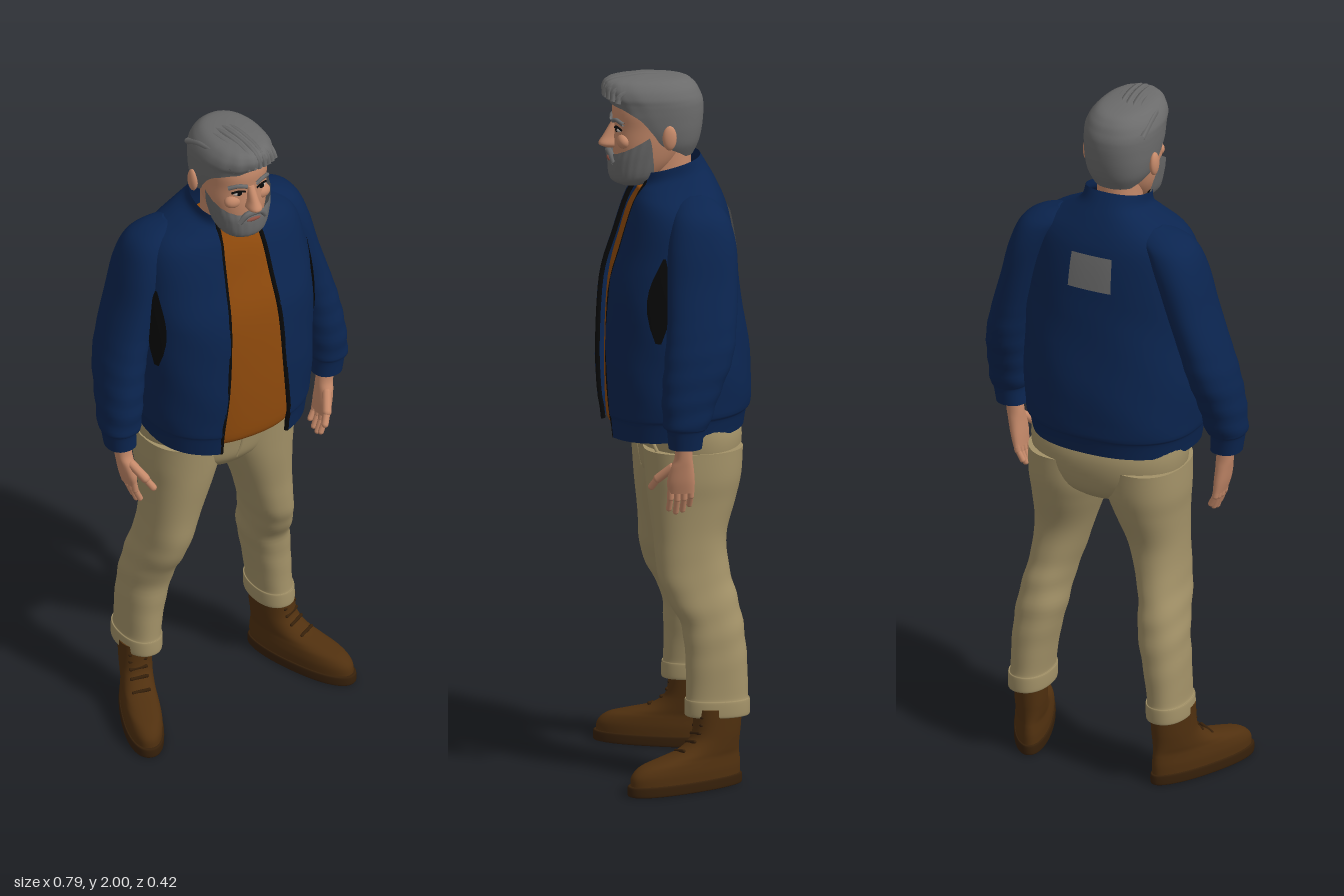
import * as THREE from 'three';

const paint = (name, color, side = THREE.DoubleSide) => {
  const m = new THREE.MeshStandardMaterial({ color, side });
  m.name = name;
  return m;
};
const M = {
  jacket: paint('navy', 0x0b2550), shirt: paint('rust', 0x8f4a0c), trousers: paint('khaki', 0xa39268),
  boots: paint('brown leather', 0x50300f), sole: paint('dark leather', 0x36200a), skin: paint('skin', 0xc68a6a),
  hair: paint('grey hair', 0x6b6b6b), black: paint('black', 0x090909), lips: paint('lips', 0x8c4f42),
  eye: paint('eye white', 0xb9b0a8),
};

// Smooth in-between rows of a table
function smooth(rows, sub = 5) {
  const out = [], at = i => rows[Math.max(0, Math.min(rows.length - 1, i))];
  for (let i = 0; i < rows.length - 1; i++) for (let s = 0; s < sub; s++) {
    const t = s / sub;
    out.push(rows[i].map((b, k) => {
      const a = at(i - 1)[k], c = at(i + 1)[k], d = at(i + 2)[k];
      return 0.5 * (2 * b + (c - a) * t + (2 * a - 5 * b + 4 * c - d) * t * t + (3 * b - a - 3 * c + d) * t * t * t);
    }));
  }
  out.push(at(rows.length - 1));
  return out;
}

// Skin over stacked oval rings, bottom to top: [y, centreX, halfWidth, frontZ, backZ, tilt, startAngle, endAngle]
// Angle 0 is the front and grows towards +x; rings with angles stay open.
function loft(name, mat, rows, { mirror = 1, sub = 5, e = 0.9, egg = 0, n = 48, warp = () => 1 } = {}) {
  const table = smooth(rows, sub), open = rows[0].length > 6, cols = open ? n + 1 : n;
  const pos = [], idx = [];
  const pow = v => Math.sign(v) * Math.abs(v) ** e;
  for (const [y, cx, rx, zf, zb, tilt = 0, a0 = 0, a1 = Math.PI * 2] of table) for (let j = 0; j < cols; j++) {
    const a = a0 + (a1 - a0) * j / n, k = warp(a, y);
    const z = (zf + zb) / 2 + (zf - zb) / 2 * pow(Math.cos(a)) * k;
    pos.push(cx * mirror + rx * pow(Math.sin(a)) * k * (1 + egg * Math.cos(a)), y - z * tilt, z);
  }
  for (let i = 0; i < table.length - 1; i++) for (let j = 0; j < n; j++) {
    const a = i * cols + j, b = i * cols + (j + 1) % cols;
    idx.push(a, b, b + cols, a, b + cols, a + cols);
  }
  if (!open) for (const top of [false, true]) { // end caps
    const r = top ? table.length - 1 : 0, [y, cx, , zf, zb] = table[r], c = pos.length / 3;
    pos.push(cx * mirror, y - (zf + zb) / 2 * (table[r][5] || 0), (zf + zb) / 2);
    for (let j = 0; j < n; j++) pos.push(...pos.slice((r * cols + j) * 3, (r * cols + j) * 3 + 3));
    for (let j = 0; j < n; j++) {
      const p = c + 1 + j, q = c + 1 + (j + 1) % n;
      idx.push(c, top ? p : q, top ? q : p);
    }
  }
  const g = new THREE.BufferGeometry();
  g.setAttribute('position', new THREE.Float32BufferAttribute(pos, 3));
  g.setIndex(idx);
  g.computeVertexNormals();
  return named(name, new THREE.Mesh(g, mat));
}
const named = (name, o) => { o.name = name; return o; };
const V = (x, y, z) => new THREE.Vector3(x, y, z);
const tube = (name, mat, pts, r) =>
  named(name, new THREE.Mesh(new THREE.TubeGeometry(new THREE.CatmullRomCurve3(pts), 24, r, 6), mat));
function rod(name, mat, a, b, r) {
  const m = new THREE.Mesh(new THREE.CapsuleGeometry(r, a.distanceTo(b), 5, 10), mat);
  m.position.copy(a).lerp(b, 0.5);
  m.quaternion.setFromUnitVectors(V(0, 1, 0), b.clone().sub(a).normalize());
  return named(name, m);
}
function ball(name, mat, x, y, z, rx, ry, rz) {
  const m = new THREE.Mesh(new THREE.SphereGeometry(1, 20, 14), mat);
  m.position.set(x, y, z);
  m.scale.set(rx, ry, rz);
  return named(name, m);
}

function head() {
  const g = named('head', new THREE.Group());
  g.add(loft('neck', M.skin, [[1.6, 0, 0.064, 0.08, -0.05], [1.7, 0, 0.06, 0.09, -0.045], [1.8, 0, 0.062, 0.1, -0.045]]));
  g.add(loft('face', M.skin, [[1.69, 0, 0.04, 0.15, 0.07], [1.71, 0, 0.06, 0.16, 0.04], [1.75, 0, 0.078, 0.17, 0],
    [1.8, 0, 0.088, 0.174, -0.03], [1.85, 0, 0.092, 0.172, -0.05], [1.9, 0, 0.094, 0.175, -0.055],
    [1.95, 0, 0.085, 0.16, -0.045], [1.975, 0, 0.05, 0.12, 0]]));
  g.add(loft('nose', M.skin, [[1.785, 0, 0.012, 0.194, 0.15], [1.796, 0, 0.021, 0.215, 0.15],
    [1.82, 0, 0.015, 0.202, 0.15], [1.86, 0, 0.011, 0.178, 0.15]], { n: 20 }));
  g.add(loft('beard', M.hair, [[1.68, 0, 0.035, 0.155, 0.09, 0, -2.2, 2.2], [1.715, 0, 0.07, 0.182, 0.03, 0.1, -2, 2],
    [1.8, 0, 0.088, 0.188, 0, 0.3, -1.75, 1.75], [1.88, 0, 0.097, 0.183, -0.02, 0.6, -1.55, 1.55]],
    { warp: a => 1 + 0.008 * Math.sin(a * 24) }));
  g.add(ball('beardUnderside', M.hair, 0, 1.692, 0.125, 0.042, 0.016, 0.04));
  g.add(ball('mouth', M.lips, 0, 1.754, 0.186, 0.022, 0.006, 0.005));
  // Swept-back hair with an open face side
  g.add(loft('hair', M.hair, [[1.765, 0, 0.07, 0.1, -0.05, 0, 2.2, 4.08], [1.8, 0, 0.09, 0.13, -0.066, 0, 1.5, 4.78],
    [1.84, 0, 0.1, 0.16, -0.075, 0, 1.33, 4.95], [1.88, 0, 0.104, 0.182, -0.079, 0, 1.15, 5.13],
    [1.905, 0, 0.105, 0.188, -0.079, 0, 0.8, 5.48], [1.922, 0, 0.105, 0.193, -0.077, 0, 0.3, 5.98],
    [1.94, 0, 0.103, 0.202, -0.07, 0, 0, 6.283], [1.965, 0, 0.09, 0.203, -0.055, 0, 0, 6.283],
    [1.985, 0, 0.063, 0.18, -0.02, 0, 0, 6.283], [1.994, 0, 0.001, 0.09, 0.088, 0, 0, 6.283]],
    { n: 72, warp: (a, y) => 1 + 0.012 * Math.sin(a * 14 + y * 40) * Math.max(0, Math.cos(a)) }));
  for (let i = -4; i <= 4; i++) {
    const x = i * 0.018, drop = x * x * 5;
    g.add(tube('hairStrand', M.hair, [V(x * 0.9 + 0.012, 1.935 - drop * 0.3, 0.198 - drop), V(x * 0.95 + 0.005, 1.972 - drop, 0.192 - drop),
      V(x, 1.986 - drop, 0.13), V(x * 1.05 - 0.012, 1.985 - drop, 0.05), V(x - 0.02, 1.955 - drop, -0.02)], 0.009));
  }
  for (const s of [-1, 1]) {
    g.add(ball('ear', M.skin, s * 0.104, 1.83, 0.03, 0.012, 0.035, 0.02));
    g.add(ball('eyeWhite', M.eye, s * 0.036, 1.843, 0.163, 0.016, 0.007, 0.008));
    g.add(ball('pupil', M.black, s * 0.036, 1.843, 0.168, 0.008, 0.007, 0.005));
    g.add(tube('upperLid', M.black, [V(s * 0.018, 1.845, 0.171), V(s * 0.036, 1.852, 0.17), V(s * 0.056, 1.845, 0.158)], 0.003));
    g.add(tube('eyebrow', M.hair, [V(s * 0.015, 1.864, 0.176), V(s * 0.038, 1.871, 0.17), V(s * 0.064, 1.863, 0.154)], 0.006));
    g.add(tube('moustache', M.hair, [V(0, 1.778, 0.187), V(s * 0.022, 1.773, 0.184), V(s * 0.042, 1.748, 0.176)], 0.009));
    g.add(ball('cheek', M.skin, s * 0.045, 1.812, 0.15, 0.028, 0.022, 0.02));
  }
  return g;
}

function jacket() {
  const g = named('jacket', new THREE.Group());
  const F = 0.01, body = [[0.99, 0.235, 0.195, -0.188, 0.06, 0.41], [1.04, 0.244, 0.2, -0.196, 0.04, 0.39],
    [1.065, 0.252, 0.205, -0.208, 0.03, 0.38], [1.2, 0.26, 0.208, -0.205, 0, 0.31], [1.4, 0.26, 0.195, -0.175, 0, 0.265],
    [1.52, 0.25, 0.16, -0.16, 0, 0.245], [1.6, 0.235, 0.135, -0.146, 0, 0.245], [1.645, 0.205, 0.118, -0.132, 0, 0.265],
    [1.68, 0.145, 0.105, -0.112, 0.08, 0.38], [1.71, 0.098, 0.1, -0.09, 0.2, 0.6], [1.745, 0.09, 0.1, -0.07, 0.25, 0.67]]
    .map(([y, rx, zf, zb, tilt, a]) => [y, 0, rx, zf + F, zb, tilt, a, Math.PI * 2 - a]);
  const dense = smooth(body), e = 0.85;
  g.add(loft('jacketBody', M.jacket, body, { e, n: 72,
    warp: (a, y) => 1 + 0.006 * Math.sin(a * 5 + y * 30) * (y < 1.45 && y > 1.07 ? 1 : 0) }));
  // Zip edges follow the front opening
  for (const s of [-1, 1]) {
    const pts = dense.filter((_, i) => i % 2 === 0).map(([y, , rx, zf, zb, tilt, a]) => {
      const z = (zf + zb) / 2 + (zf - zb) / 2 * Math.cos(a) ** e - 0.006;
      return V(s * (rx * Math.sin(a) ** e - 0.001), y - z * tilt, z);
    });
    g.add(tube('zipEdge', M.black, pts, 0.007));
  }
  // Thin panels lying on the cloth
  const panel = (name, mat, lo, hi, range) => g.add(loft(name, mat, dense.filter(r => r[0] > lo && r[0] < hi)
    .map(([y, cx, rx, zf, zb, t]) => [y, cx, rx + 0.005, zf + 0.005, zb - 0.005, t, ...range((y - lo) / (hi - lo))]), { e, sub: 1, n: 12 }));
  panel('backPatch', M.hair, 1.49, 1.61, () => [2.936, 3.347]);
  for (const s of [-1, 1]) {
    panel('underarmPanel', M.black, 1.26, 1.53, t => [1.27 - s * 0.17 * Math.sin(Math.PI * t), 1.27 + s * 0.17 * Math.sin(Math.PI * t)]
      .map(a => s * a));
    const sleeve = [[1.0, 0.335, 0.044, 0.068, -0.025], [1.05, 0.34, 0.047, 0.073, -0.032], [1.068, 0.337, 0.056, 0.083, -0.045],
      [1.15, 0.33, 0.06, 0.085, -0.075], [1.25, 0.315, 0.062, 0.075, -0.115], [1.35, 0.29, 0.061, 0.064, -0.13],
      [1.45, 0.26, 0.061, 0.06, -0.138], [1.55, 0.23, 0.066, 0.055, -0.138], [1.62, 0.198, 0.07, 0.04, -0.122],
      [1.655, 0.16, 0.065, 0.02, -0.095], [1.675, 0.13, 0.03, -0.01, -0.06]];
    g.add(loft('sleeve', M.jacket, sleeve, { mirror: s, n: 36, sub: 6,
      warp: (a, y) => y < 1.06 || y > 1.4 ? 1 : 1 + 0.03 * Math.sin(y * 95 + 1.5 * Math.cos(a)) * (1.4 - y) / 0.34 }));
  }
  return g;
}

function hand(s) {
  const g = named('hand', new THREE.Group());
  g.add(loft('palm', M.skin, [[0.865, 0.312, 0.014, 0.066, -0.008], [0.9, 0.318, 0.019, 0.07, -0.008],
    [0.94, 0.324, 0.022, 0.062, -0.004], [0.97, 0.328, 0.024, 0.05, 0], [1.02, 0.334, 0.025, 0.05, 0.002]], { mirror: s, n: 24 }));
  for (let i = 0; i < 4; i++) {
    const z = 0.002 + i * 0.019, len = [0.045, 0.06, 0.065, 0.055][i], mid = V(s * 0.309, 0.872 - len * 0.4, z);
    g.add(rod('finger', M.skin, V(s * 0.314, 0.88, z), mid, 0.0095));
    g.add(rod('fingertip', M.skin, mid, V(s * 0.295, 0.872 - len, z + 0.002), 0.0085));
  }
  g.add(rod('thumbBase', M.skin, V(s * 0.318, 0.94, 0.055), V(s * 0.296, 0.905, 0.092), 0.013));
  g.add(rod('thumb', M.skin, V(s * 0.296, 0.905, 0.092), V(s * 0.28, 0.878, 0.108), 0.01));
  return g;
}

function boot(s) {
  const g = named('boot', new THREE.Group());
  g.add(loft('sole', M.sole, [[0, 0, 0.052, 0.282, -0.07], [0.004, 0, 0.055, 0.288, -0.074], [0.026, 0, 0.055, 0.288, -0.074],
    [0.03, 0, 0.052, 0.283, -0.07]], { egg: 0.12 }));
  g.add(loft('bootUpper', M.boots, [[0.026, 0, 0.051, 0.28, -0.068], [0.055, 0, 0.052, 0.276, -0.069], [0.078, 0, 0.049, 0.25, -0.067],
    [0.092, 0, 0.046, 0.2, -0.065], [0.108, 0, 0.045, 0.135, -0.064], [0.13, 0, 0.045, 0.095, -0.065], [0.16, 0, 0.046, 0.076, -0.068],
    [0.225, 0, 0.048, 0.07, -0.073]], { egg: 0.12 }));
  for (let i = 0; i < 5; i++) {
    const y = 0.108 + i * 0.022, z = [0.128, 0.093, 0.077, 0.07, 0.068][i];
    g.add(rod('lace', M.sole, V(-0.022, y, z - 0.004), V(0.022, y + 0.008, z - 0.004), 0.005));
  }
  g.position.set(s * 0.222, 0, -0.088);
  g.rotation.y = s * 0.39;
  return g;
}

function trousers() {
  const g = named('trousers', new THREE.Group());
  g.add(loft('seat', M.trousers, [[0.835, 0, 0.1, 0.07, -0.12], [0.87, 0, 0.18, 0.094, -0.16], [0.92, 0, 0.22, 0.105, -0.178],
    [0.98, 0, 0.232, 0.113, -0.182], [1.04, 0, 0.23, 0.11, -0.165]]));
  const leg = [[0.2, 0.216, 0.054, 0, -0.174], [0.206, 0.216, 0.059, 0.005, -0.178], [0.245, 0.215, 0.059, 0.004, -0.178],
    [0.255, 0.214, 0.054, 0, -0.173], [0.35, 0.205, 0.06, 0, -0.172], [0.45, 0.19, 0.067, 0.01, -0.164], [0.53, 0.18, 0.065, 0.05, -0.148],
    [0.6, 0.165, 0.068, 0.074, -0.13], [0.7, 0.146, 0.08, 0.082, -0.122], [0.8, 0.128, 0.1, 0.094, -0.15],
    [0.87, 0.12, 0.114, 0.1, -0.167], [0.95, 0.12, 0.113, 0.106, -0.172]];
  for (const s of [-1, 1]) {
    g.add(loft('leg', M.trousers, leg, { mirror: s, sub: 6,
      warp: (a, y) => 1 + 0.018 * Math.sin(y * 75 + 2 * Math.sin(a + s)) * Math.exp(-(((y - 0.47) / 0.13) ** 2)) }));
    g.add(tube('pocketSeam', M.trousers, [V(s * 0.15, 0.985, 0.09), V(s * 0.185, 0.94, 0.07), V(s * 0.215, 0.89, 0.025)], 0.005));
  }
  g.add(tube('flySeam', M.trousers, [V(0.012, 0.99, 0.113), V(0.012, 0.93, 0.106), V(0, 0.87, 0.094)], 0.004));
  return g;
}

export function createModel() {
  const model = named('standingMan', new THREE.Group());
  model.add(head(), jacket(), trousers());
  model.add(loft('shirt', M.shirt, [[0.995, 0, 0.2, 0.18, -0.15], [1.03, 0, 0.21, 0.19, -0.16], [1.2, 0, 0.225, 0.193, -0.16],
    [1.4, 0, 0.225, 0.182, -0.14], [1.53, 0, 0.2, 0.15, -0.12], [1.61, 0, 0.15, 0.128, -0.1], [1.665, 0, 0.08, 0.102, -0.06]], { e: 0.85 }));
  model.add(tube('shirtCollar', M.shirt, [-1.3, -0.8, -0.4, 0, 0.4, 0.8, 1.3].map(a =>
    V(0.075 * Math.sin(a), 1.68 - 0.018 * Math.cos(a), 0.015 + 0.084 * Math.cos(a))), 0.008));
  for (const s of [-1, 1]) model.add(hand(s), boot(s));
  return model;
}
